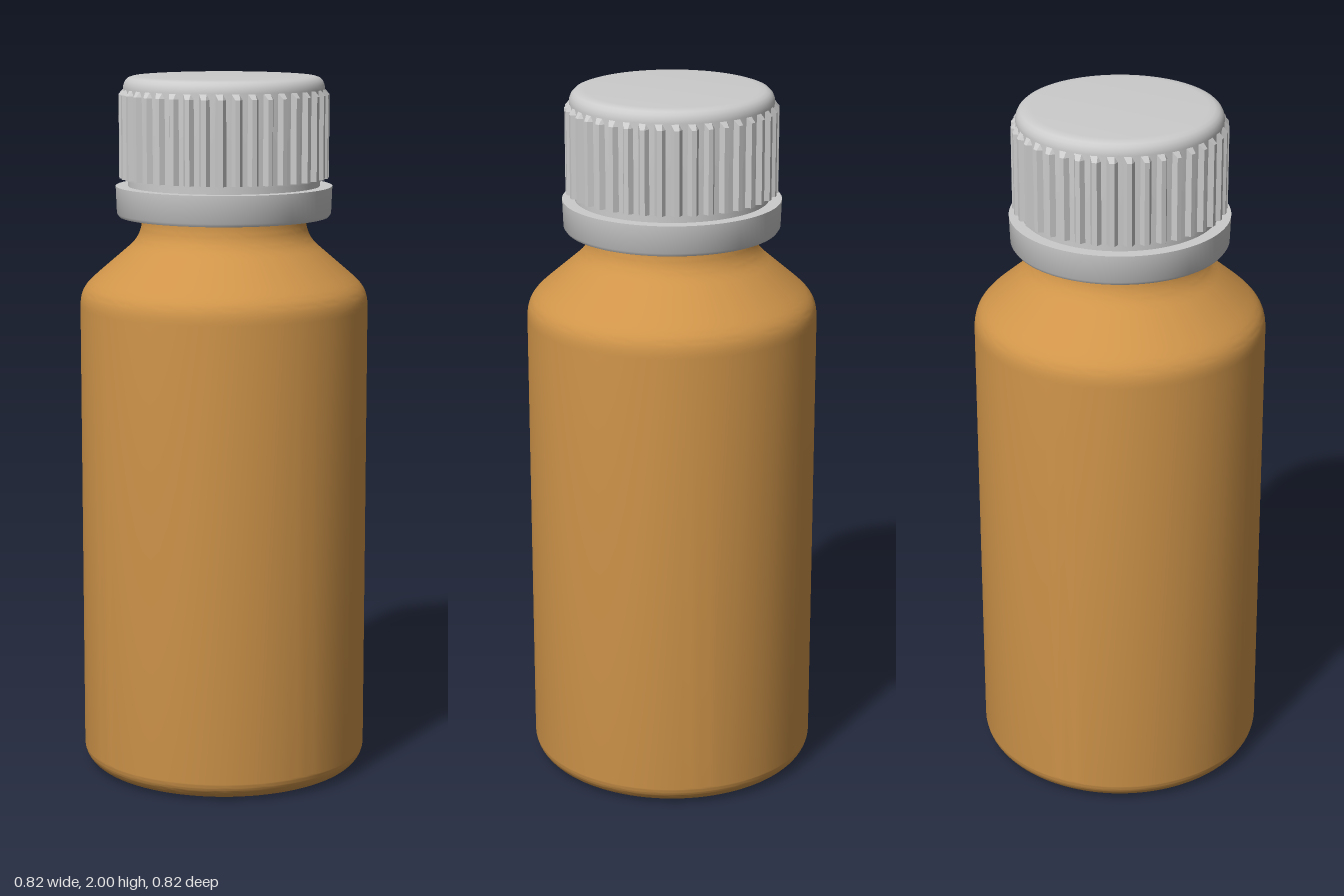
import * as THREE from 'three';
import { toCreasedNormals } from 'three/addons/utils/BufferGeometryUtils.js';

const SEGMENTS = 96;
const TEETH = 40;

function addMesh(group, name, geometry, material) {
  const mesh = new THREE.Mesh(geometry, material);
  mesh.name = name;
  group.add(mesh);
}

// Revolves a profile (bottom to top along the outside), keeping sharp corners crisp
function turned(points) {
  const profile = points.map((p) => (p.isVector2 ? p : new THREE.Vector2(p[0], p[1])));
  return toCreasedNormals(new THREE.LatheGeometry(profile, SEGMENTS), 0.6);
}

// Bottle outline: flat base, rounded heel, straight wall, sloping shoulder, neck with bead
function bottleGeometry() {
  const path = new THREE.Path();
  path.moveTo(0, 0.005);
  path.lineTo(0.33, 0.005);
  path.lineTo(0.35, 0);
  path.absarc(0.35, 0.06, 0.06, -Math.PI / 2, 0, false);
  path.lineTo(0.41, 1.35);
  path.bezierCurveTo(0.41, 1.40, 0.39, 1.415, 0.36, 1.442);
  path.lineTo(0.275, 1.515);
  path.bezierCurveTo(0.245, 1.54, 0.232, 1.565, 0.232, 1.61);
  path.lineTo(0.232, 1.63);
  path.absarc(0.24, 1.65, 0.02, -Math.PI / 2, Math.PI / 2, false);
  path.lineTo(0.23, 1.68);
  path.lineTo(0.23, 1.9);
  path.lineTo(0, 1.9);
  return turned(path.getPoints(12));
}

// Toothed grip: a gear outline raised upright, its upper end tapering into the cap
function gripGeometry(bottom, top) {
  const root = 0.283, tip = 0.297, steps = 16;
  const outline = [];
  const pitch = (Math.PI * 2) / TEETH;
  for (let i = 0; i < TEETH; i++) {
    for (const [offset, r] of [[-0.34, root], [-0.14, tip], [0.14, tip], [0.34, root]]) {
      const a = (i + offset) * pitch + Math.PI / 2;
      outline.push(new THREE.Vector2(Math.cos(a) * r, Math.sin(a) * r));
    }
  }
  const shape = new THREE.Shape(outline);
  shape.holes.push(new THREE.Path().absarc(0, 0, 0.25, 0, Math.PI * 2, true));
  const geometry = new THREE.ExtrudeGeometry(shape, {
    depth: top - bottom, steps, bevelEnabled: false, curveSegments: 48,
  });
  geometry.rotateX(-Math.PI / 2).translate(0, bottom, 0);
  const pos = geometry.attributes.position;
  for (let i = 0; i < pos.count; i++) {
    const r = Math.hypot(pos.getX(i), pos.getZ(i));
    if (pos.getY(i) > top - 0.001 && r > root) {
      pos.setX(i, (pos.getX(i) * root) / r);
      pos.setZ(i, (pos.getZ(i) * root) / r);
    }
  }
  return toCreasedNormals(geometry, 0.4);
}

export function createModel() {
  const group = new THREE.Group();
  const amber = new THREE.MeshStandardMaterial({ color: 0xd0954a });
  const grey = new THREE.MeshStandardMaterial({ color: 0xcccccc });

  addMesh(group, 'bottle', bottleGeometry(), amber);

  const cap = new THREE.Group();
  cap.name = 'screwCap';
  group.add(cap);

  addMesh(cap, 'capGrip', gripGeometry(1.715, 1.965), grey);

  // Cap core with a rounded top edge
  addMesh(cap, 'capTop', turned([
    [0.25, 1.71], [0.282, 1.71], [0.284, 1.966], [0.283, 1.976],
    [0.278, 1.987], [0.27, 1.995], [0.258, 1.999], [0.24, 2], [0, 2],
  ]), grey);

  // Thin bridge between the cap and the seal ring
  addMesh(cap, 'capBridge', turned([
    [0.25, 1.68], [0.272, 1.68], [0.272, 1.72], [0.25, 1.72], [0.25, 1.68],
  ]), grey);

  // Tamper seal ring, open below around the neck
  addMesh(cap, 'sealRing', turned([
    [0.27, 1.66], [0.27, 1.615], [0.278, 1.606], [0.298, 1.606], [0.304, 1.615],
    [0.307, 1.692], [0.25, 1.692], [0.25, 1.68], [0.27, 1.66],
  ]), grey);

  return group;
}
